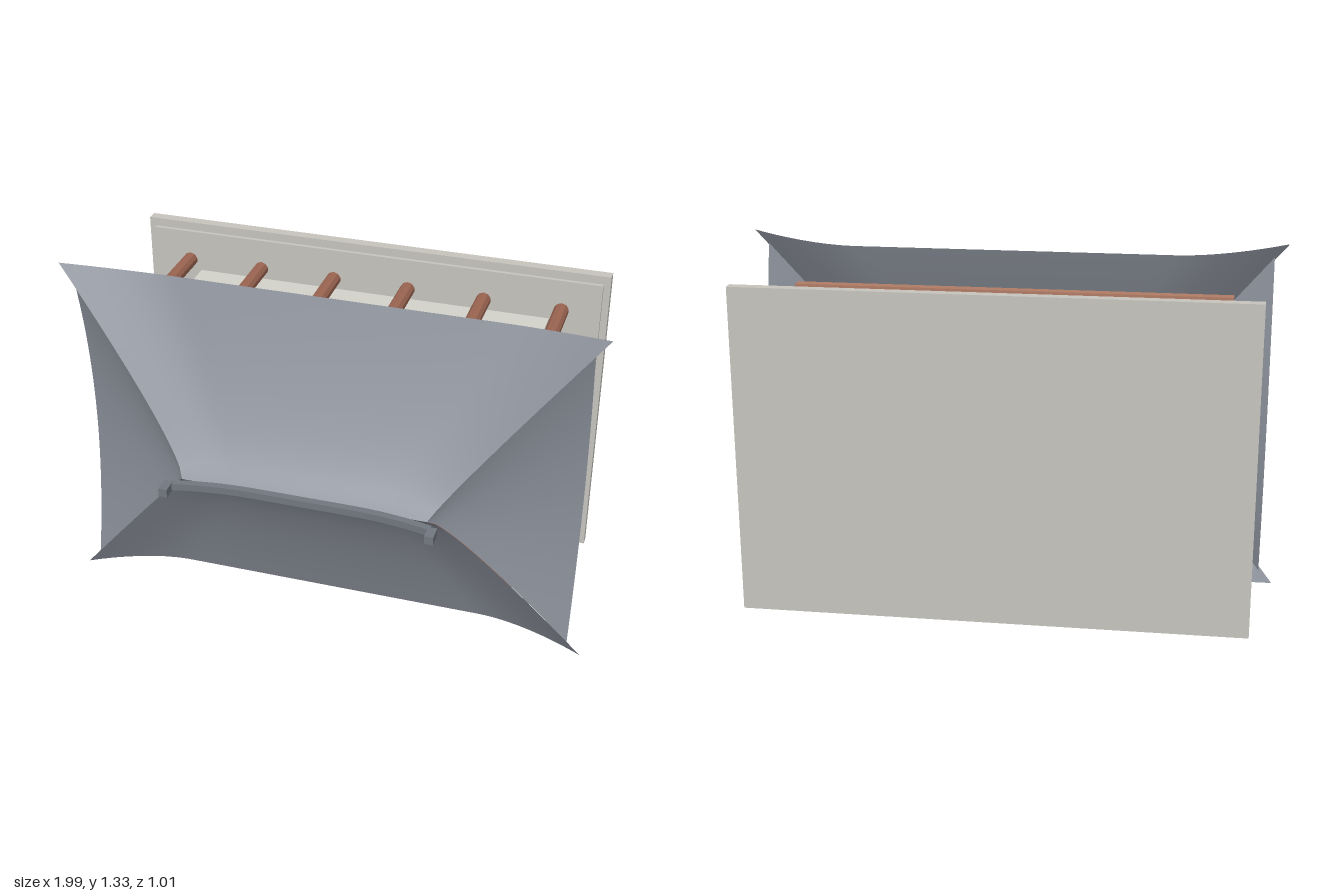
import * as THREE from 'three';

const MID = 0.67; // height of the model's axis
const mat = (color, opts = {}) => {
  const m = new THREE.MeshStandardMaterial(opts);
  m.color.set(color);
  return m;
};

export function createModel() {
  const model = new THREE.Group();
  const stone = mat(0xc6c4bd), plaster = mat(0xd4d3cb), timber = mat(0xb07c66);
  const post = mat(0x9c6552, { flatShading: true });
  const ridgeTile = mat(0x727880), tile = mat(0x8a8f99, { side: THREE.DoubleSide });

  const add = (name, geometry, material, x = 0, y = MID, z = 0) => {
    const mesh = new THREE.Mesh(geometry, material);
    mesh.name = name;
    mesh.position.set(x, y, z);
    model.add(mesh);
    return mesh;
  };
  // slab spanning z0..z1, given half width and half height
  const slab = (name, hx, hy, z0, z1, material) =>
    add(name, new THREE.BoxGeometry(2 * hx, 2 * hy, z1 - z0), material, 0, MID, (z0 + z1) / 2);

  // stepped base, inner hall and beam plate
  slab('baseSlab', 0.905, 0.595, -0.505, -0.465, stone);
  slab('baseStep', 0.88, 0.563, -0.465, -0.45, stone);
  slab('hall', 0.692, 0.403, -0.45, -0.055, plaster);
  slab('beamPlate', 0.805, 0.497, -0.012, 0.03, timber);

  // two rows of six columns
  const column = new THREE.CylinderGeometry(0.028, 0.028, 0.438, 10).rotateX(Math.PI / 2);
  for (const side of [-1, 1]) {
    for (let i = 0; i < 6; i++) {
      add('column', column, post, -0.735 + i * 0.294, MID + side * 0.445, -0.231);
    }
  }

  // concave roof: t runs from ridge (0) to eave (1), s across the panel (-1..1)
  const slope = (t) => 0.4 - 0.34 * Math.pow(t, 0.687);
  const longPanel = (px, py) => {
    const t = py + 0.5, s = px * 2;
    const lift = Math.pow(Math.max(0, (Math.abs(s) - 0.6) / 0.4), 1.7);
    return [s * (0.455 + 0.542 * t), t * (0.63 + 0.035 * lift), slope(t) + 0.085 * t * lift];
  };
  const endPanel = (px, py) => {
    const t = px + 0.5, s = py * 2;
    return [0.455 + 0.49 * t, 0.615 * t * s, slope(t) + 0.085 * t * s * s];
  };
  const panel = (rule, nx, ny) => {
    const g = new THREE.PlaneGeometry(1, 1, nx, ny);
    const p = g.attributes.position;
    for (let i = 0; i < p.count; i++) p.setXYZ(i, ...rule(p.getX(i), p.getY(i)));
    g.computeVertexNormals();
    return g;
  };
  const longGeo = panel(longPanel, 40, 24), endGeo = panel(endPanel, 24, 24);
  for (const turn of [0, Math.PI]) {
    add('longRoofSlope', longGeo, tile).rotation.z = turn;
    add('endRoofSlope', endGeo, tile).rotation.z = turn;
  }

  // ridge beam curving outwards at its ends
  const line = [];
  for (let i = 0; i <= 20; i++) {
    const x = -0.48 + i * 0.048;
    const rise = Math.max(0, (Math.abs(x) - 0.18) / 0.3);
    line.push(new THREE.Vector2(x, 0.398 + 0.036 * rise * rise));
  }
  const top = line.map((p) => new THREE.Vector2(p.x, p.y + 0.028)).reverse();
  const ridge = new THREE.ExtrudeGeometry(new THREE.Shape([...line, ...top]),
    { depth: 0.026, bevelEnabled: false });
  ridge.translate(0, 0, -0.013).rotateX(Math.PI / 2);
  add('ridgeBeam', ridge, ridgeTile);

  // ridge end blocks
  for (const side of [-1, 1]) {
    add('ridgeEnd', new THREE.BoxGeometry(0.032, 0.032, 0.058), ridgeTile, side * 0.487, MID, 0.476);
  }
  return model;
}
